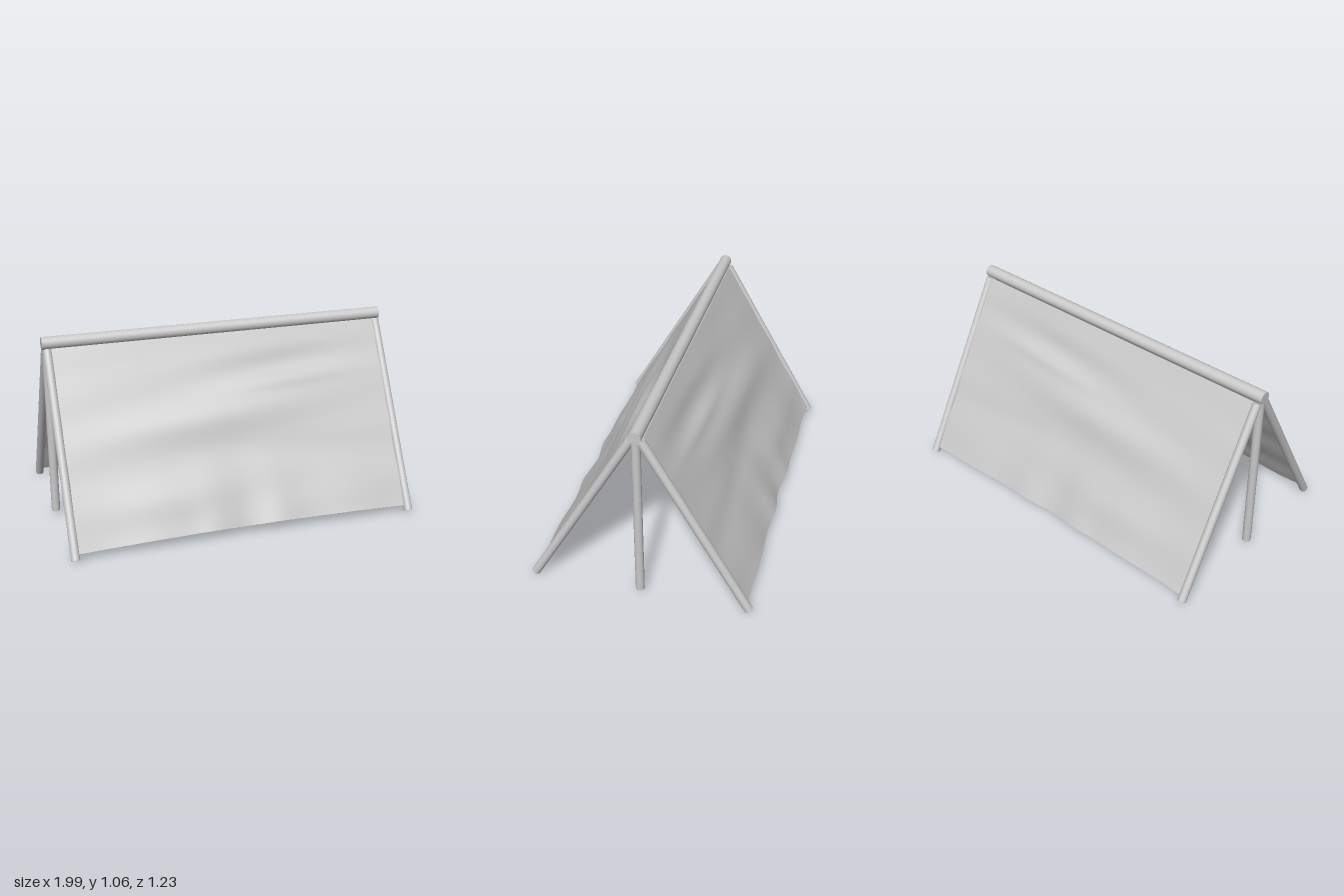
import * as THREE from 'three';

const material = new THREE.MeshStandardMaterial({ color: 0xc8c8c8 });
material.name = 'plain grey';

// Round pole between two points
function pole(name, from, to, radius) {
  const a = new THREE.Vector3(...from), b = new THREE.Vector3(...to);
  const dir = b.clone().sub(a);
  const mesh = new THREE.Mesh(new THREE.CylinderGeometry(radius, radius, dir.length(), 24), material);
  mesh.position.copy(a).add(b).multiplyScalar(0.5);
  mesh.quaternion.setFromUnitVectors(new THREE.Vector3(0, 1, 0), dir.normalize());
  mesh.name = name;
  return mesh;
}

const bump = (t, centre, width) => Math.exp(-(((t - centre) / width) ** 2));

// Outward billow of the cloth: x along the ridge, v from ridge (0) to hem (1)
function billow(x, v) {
  const t = v + 0.05 * x;
  let d = 0.024 * bump(t, 0.42, 0.1) * bump(x, -0.1, 0.55);
  d += 0.014 * bump(t, 0.8, 0.1) * bump(x, -0.35, 0.4);
  d -= 0.014 * bump(t, 0.2, 0.06) * bump(x, 0.3, 0.4);
  d += 0.012 * bump(t, 0.29, 0.035) * bump(x, 0.35, 0.35);
  d -= 0.01 * bump(v - 0.05 * x, 0.62, 0.08) * bump(x, 0.4, 0.45);
  d += 0.003 * Math.sin(5 * x + 9 * v) * Math.sin(14 * v - 2 * x);
  // Ripples that grow towards the hem
  d += 0.012 * v ** 5 * (bump(x, -0.2, 0.1) + bump(x, 0.2, 0.1) - 1.6 * bump(x, 0, 0.11)
    + 0.4 * Math.sin(11 * x + 1));
  return d * Math.min(1, v * 8);
}

// Thin cloth sheet; side = 1 for front, -1 for back
function cloth(side) {
  const g = new THREE.BoxGeometry(2, 1, 0.01, 80, 48, 1);
  const p = g.attributes.position;
  for (let i = 0; i < p.count; i++) {
    const u = p.getX(i), v = 0.5 - p.getY(i);
    // Uneven side edges, with slack notches on the left side
    const notch = 0.022 * bump(v, 0.75, 0.09) + 0.015 * bump(v, 0.96, 0.05);
    const x = u > 0 ? u * (0.965 - notch * u ** 8) : u * (0.965 - 0.008 * Math.sin(9 * v) * u ** 8);
    const n = billow(x, v) + p.getZ(i);
    const rise = 0.016 * v ** 6 * (1 - x * x);
    p.setXYZ(i, x, 1.005 - 0.965 * v + 0.5 * n + rise, 0.03 + 0.555 * v + 0.866 * n - 0.5 * rise);
    if (side < 0) {
      p.setZ(i, -p.getZ(i));
    }
  }
  // Mirroring flips the corner order, so restore it
  if (side < 0) {
    const index = g.index;
    for (let i = 0; i < index.count; i += 3) {
      const a = index.getX(i);
      index.setX(i, index.getX(i + 1));
      index.setX(i + 1, a);
    }
  }
  g.computeVertexNormals();
  const mesh = new THREE.Mesh(g, material);
  mesh.name = side > 0 ? 'frontCloth' : 'backCloth';
  return mesh;
}

export function createModel() {
  const group = new THREE.Group();
  group.name = 'ridgeTent';

  // Ridge beam
  group.add(pole('ridgeBeam', [-1, 1.03, 0], [0.99, 1.03, 0], 0.035));

  // End frames: two slanted legs and one upright each
  for (const [x, end] of [[-0.973, 'right'], [0.964, 'left']]) {
    group.add(pole(end + 'Upright', [x, 0.03, 0], [x, 1.02, 0], 0.024));
    for (const s of [1, -1]) {
      group.add(pole(end + (s > 0 ? 'FrontLeg' : 'BackLeg'), [x, 0.013, s * 0.595], [x, 1.0, s * 0.027], 0.024));
    }
  }

  // Cloth sheets
  group.add(cloth(1), cloth(-1));
  return group;
}
